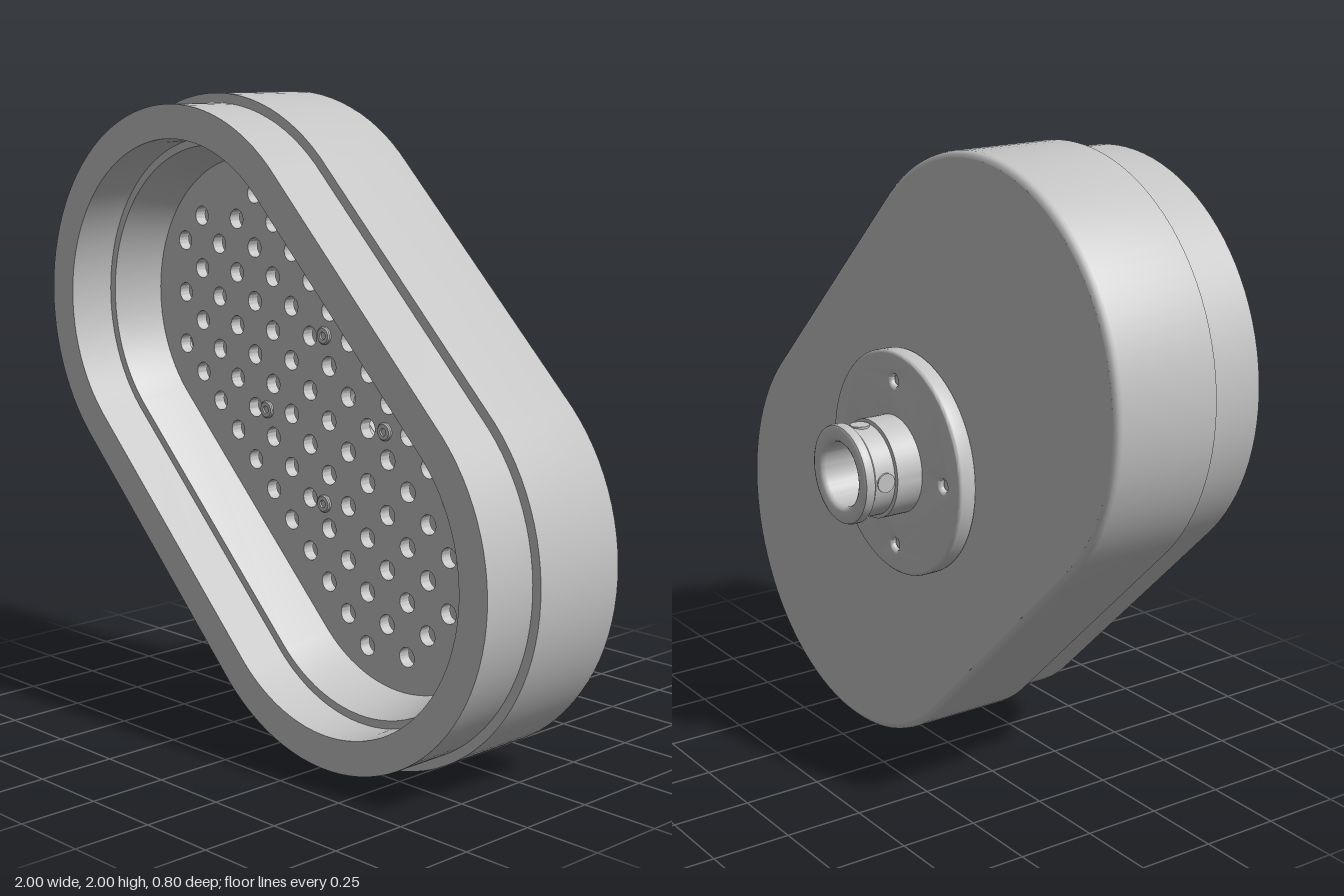
import * as THREE from 'three';
import { toCreasedNormals } from 'three/addons/utils/BufferGeometryUtils.js';

const C = 0.335;          // offset of each rounded end's centre along x and y
const SEG = 96;

export function createModel() {
  const model = new THREE.Group();
  model.name = 'showerHead';
  const grey = new THREE.MeshStandardMaterial({ color: 0xc4c4c4 });
  grey.name = 'satin grey';

  const add = (name, geometry, parent = model) => {
    const mesh = new THREE.Mesh(toCreasedNormals(geometry, 0.6), grey);
    mesh.name = name;
    parent.add(mesh);
    return mesh;
  };

  // Revolve [radius, z] pairs about the z axis
  const revolve = (profile, segments = SEG) =>
    new THREE.LatheGeometry(profile.map(([r, z]) => new THREE.Vector2(r, z)), segments, Math.PI / segments)
      .rotateX(Math.PI / 2);

  // Pull the two halves of a revolved form apart along the diagonal
  const stretch = (geometry) => {
    const p = geometry.attributes.position;
    for (let i = 0; i < p.count; i++) {
      const s = p.getY(i) > p.getX(i) ? 1 : -1;
      p.setXY(i, p.getX(i) - s * C, p.getY(i) + s * C);
    }
    return geometry;
  };

  const stadium = (r) => {
    const shape = new THREE.Shape();
    shape.absarc(-C, C, r, Math.PI / 4, Math.PI * 1.25, false);
    shape.absarc(C, -C, r, -Math.PI * 0.75, Math.PI / 4, false);
    shape.closePath();
    return shape;
  };

  const circleHole = (x, y, r) => new THREE.Path().absarc(x, y, r, 0, Math.PI * 2, true);

  const slab = (shape, z0, z1, curveSegments) =>
    new THREE.ExtrudeGeometry(shape, { depth: z1 - z0, bevelEnabled: false, curveSegments })
      .translate(0, 0, z0);

  // Stepped outer shell with front rim, inner ledge and tapered wall
  add('shell', stretch(revolve([
    [0.645, -0.14], [0.655, -0.137], [0.662, -0.13], [0.665, -0.12],
    [0.665, 0.21], [0.635, 0.21], [0.635, 0.395], [0.53, 0.395],
    [0.53, 0.24], [0.505, 0.24], [0.465, 0.08], [0.465, 0.04],
    [0.56, 0.04], [0.56, -0.1],
  ])));

  // Back panel with the water inlet
  const back = stadium(0.645);
  back.holes.push(circleHole(0, 0, 0.1));
  add('backPanel', slab(back, -0.14, -0.1, 48));

  // Perforated plate: diagonal grid of holes kept inside the rounded outline
  const plate = stadium(0.467);
  const pitch = 0.0856;
  for (let j = -8; j <= 8; j++) {
    for (let i = -9; i <= 9; i++) {
      if ((i + j) % 2 !== 0) continue;
      const x = 0.0187 + i * pitch, y = j * pitch;
      const t = THREE.MathUtils.clamp((y - x) / 2, -C, C);
      if (Math.hypot(x + t, y - t) < 0.381) plate.holes.push(circleHole(x, y, 0.031));
    }
  }
  add('perforatedPlate', slab(plate, 0.04, 0.08, 24));

  // Round mounting flange with countersunk screw holes
  const screwSpots = [[0.265, 0], [0, 0.265], [-0.265, 0], [0, -0.265]];
  const disc = new THREE.Shape().absarc(0, 0, 0.355, 0, Math.PI * 2, false);
  disc.holes.push(circleHole(0, 0, 0.1));
  screwSpots.forEach(([x, y]) => disc.holes.push(circleHole(x, y, 0.02)));
  add('flange', new THREE.ExtrudeGeometry(disc, {
    depth: 0.04, bevelThickness: 0.01, bevelSize: 0.01, bevelOffset: -0.01, bevelSegments: 3, curveSegments: 48,
  }).translate(0, 0, -0.19));

  // Screws: recessed heads at the back, small collars on the plate
  screwSpots.forEach(([x, y]) => {
    const screw = new THREE.Group();
    screw.name = 'screw';
    screw.position.set(x, y, 0);
    model.add(screw);
    add('screwHead', new THREE.CylinderGeometry(0.016, 0.016, 0.045, 16)
      .rotateX(Math.PI / 2).translate(0, 0, -0.163), screw);
    add('screwCollar', revolve([
      [0.012, 0.07], [0.028, 0.07], [0.028, 0.086], [0.024, 0.09], [0.012, 0.09], [0.012, 0.07],
    ], 20), screw);
    add('screwTip', new THREE.CylinderGeometry(0.0125, 0.0125, 0.02, 16)
      .rotateX(Math.PI / 2).translate(0, 0, 0.074), screw);
  });

  // Grooved hollow connector
  add('connector', revolve([
    [0.1, -0.385], [0.106, -0.395], [0.115, -0.4], [0.143, -0.4], [0.152, -0.396], [0.155, -0.388],
    [0.155, -0.368], [0.143, -0.358], [0.143, -0.29], [0.155, -0.288],
    [0.155, -0.195], [0.1, -0.195], [0.1, -0.385],
  ], 64));

  // Locking pins set into the groove
  for (let k = 0; k < 4; k++) {
    add('lockingPin', new THREE.CylinderGeometry(0.03, 0.03, 0.03, 20).translate(0, 0.132, -0.323))
      .rotation.z = k * Math.PI / 2;
  }

  model.position.y = 1;
  const root = new THREE.Group();
  root.add(model);
  return root;
}
